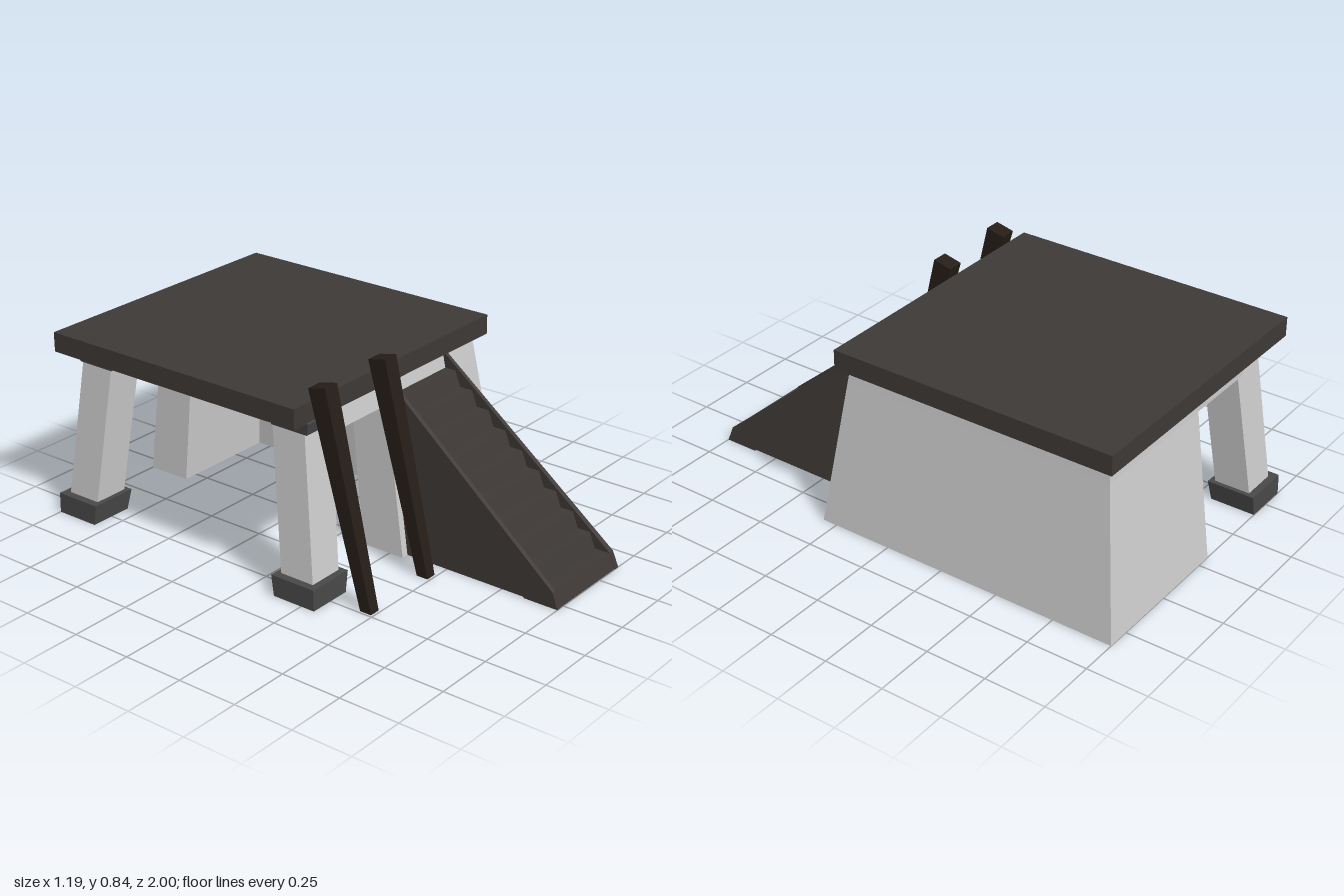
import * as THREE from 'three';

const mat = (color) => new THREE.MeshStandardMaterial({ color, flatShading: true, side: THREE.DoubleSide });

// Closed solid through horizontal sections: [{ y, pts: [[x, z], ...] }, ...] from bottom to top
function loft(sections) {
  const flat = (s) => s.pts.map(([x, z]) => new THREE.Vector2(x, -z));
  const rings = sections.map((s) => {
    const p = flat(s);
    if (THREE.ShapeUtils.isClockWise(p)) p.reverse();
    return p.map((v) => [v.x, s.y, -v.y]);
  });
  const pos = [];
  const tri = (a, b, c) => pos.push(...a, ...b, ...c);
  const n = rings[0].length;
  for (let k = 0; k + 1 < rings.length; k++) {
    for (let i = 0; i < n; i++) {
      const j = (i + 1) % n, lo = rings[k], hi = rings[k + 1];
      tri(lo[i], lo[j], hi[j]);
      tri(lo[i], hi[j], hi[i]);
    }
  }
  const bottom = rings[0], top = rings[rings.length - 1];
  const faces = (r) => THREE.ShapeUtils.triangulateShape(r.map((p) => new THREE.Vector2(p[0], -p[2])), []);
  faces(top).forEach(([a, b, c]) => tri(top[a], top[b], top[c]));
  faces(bottom).forEach(([a, b, c]) => tri(bottom[a], bottom[c], bottom[b]));
  const g = new THREE.BufferGeometry();
  g.setAttribute('position', new THREE.Float32BufferAttribute(pos, 3));
  g.computeVertexNormals();
  return g;
}

const rect = (x0, x1, z0, z1) => [[x0, z0], [x1, z0], [x1, z1], [x0, z1]];
const block = (y0, r0, y1, r1) => loft([{ y: y0, pts: rect(...r0) }, { y: y1, pts: rect(...r1) }]);

// Side profile of [z, y] points, swept across x between two limits that vary with height
function prism(profile, xLow, xHigh) {
  const shape = new THREE.Shape(profile.map(([z, y]) => new THREE.Vector2(-z, y)));
  const g = new THREE.ExtrudeGeometry(shape, { depth: 1, bevelEnabled: false });
  g.rotateY(Math.PI / 2);
  const p = g.attributes.position;
  for (let i = 0; i < p.count; i++) {
    const y = p.getY(i);
    p.setX(i, THREE.MathUtils.lerp(xLow(y), xHigh(y), p.getX(i)));
  }
  g.computeVertexNormals();
  return g;
}

export function createModel() {
  const model = new THREE.Group();
  model.name = 'raisedPlatform';
  const plaster = mat(0xcccccc), wood = mat(0x3e3936), stone = mat(0x484848), darkWood = mat(0x261d17);
  const add = (name, geometry, material) => {
    const m = new THREE.Mesh(geometry, material);
    m.name = name;
    model.add(m);
    return m;
  };

  // Roof deck
  add('deck', new THREE.BoxGeometry(1.19, 0.08, 1.2), wood).position.set(0, 0.738, -0.375);

  // C-shaped wall with battered sides: y, outer x, open end x, back z, front z, thickness
  const wallSections = [
    [0, 0.595, -0.063, -1, 0.313, 0.19],
    [0.61, 0.525, -0.056, -0.925, 0.225, 0.17],
    [0.7, 0.516, -0.056, -0.918, 0.21, 0.17],
  ].map(([y, x, e, b, f, t]) => ({
    y,
    pts: [[e, b], [x, b], [x, f], [e, f], [e, f - t], [x - t, f - t], [x - t, b + t], [e, b + t]],
  }));
  add('wall', loft(wallSections), plaster);

  // Lintels from the wall to the corner legs
  add('frontLintel', block(0.61, [-0.38, -0.05, 0.06, 0.222], 0.697, [-0.38, -0.03, 0.05, 0.208]), plaster);
  add('backLintel', block(0.61, [-0.38, -0.05, -0.922, -0.76], 0.697, [-0.38, -0.03, -0.922, -0.75]), plaster);

  // Leaning corner legs with stone feet and caps
  for (const front of [true, false]) {
    const zs = (outer, depth) => (front ? [outer - depth, outer] : [-0.69 - outer, -0.69 - outer + depth]);
    const label = front ? 'front' : 'back';
    add(label + 'Foot', block(0, [-0.597, -0.41, ...zs(0.31, 0.19)], 0.085, [-0.597, -0.395, ...zs(0.308, 0.2)]), stone);
    add(label + 'Leg', block(0.08, [-0.565, -0.415, ...zs(0.28, 0.15)], 0.7, [-0.516, -0.36, ...zs(0.205, 0.15)]), plaster);
    add(label + 'Cap', block(0.65, [-0.522, -0.36, ...zs(0.222, 0.165)], 0.7, [-0.53, -0.35, ...zs(0.235, 0.19)]), stone);
  }

  // Tapered poles leaning against the deck edge
  for (const x of [-0.467, -0.121]) {
    const pole = block(0, [x - 0.023, x + 0.023, 0.44, 0.49], 0.835, [x - 0.034, x + 0.034, 0.213, 0.29]);
    const p = pole.attributes.position;
    // square the ends to the lean
    for (let i = 0; i < p.count; i++) if (p.getY(i) > 0.8) p.setY(i, p.getZ(i) > 0.25 ? 0.843 : 0.825);
    pole.computeVertexNormals();
    add('pole', pole, darkWood);
  }

  // Staircase, narrowing towards the top
  const outerL = (y) => -0.04 + 0.006 * y;
  const innerL = (y) => -0.02 + 0.006 * y;
  const outerR = (y) => 0.385 - 0.07 * y;
  const innerR = (y) => 0.359 - 0.055 * y;
  const stringer = [[1, 0], [0.975, 0.065], [0.22, 0.7], [0.2, 0.7], [0.2, 0.555], [0.855, 0]];
  add('leftStringer', prism(stringer, innerR, outerR), wood);
  add('rightStringer', prism(stringer, outerL, innerL), wood);

  // Steps with sloping risers, solid underneath
  const steps = [[0.2, 0], [0.998, 0], [0.975, 0.063]];
  for (let k = 0; k < 9; k++) {
    const z = 0.91 - 0.0775 * k, y = 0.063 + 0.064 * k;
    steps.push([z, y], [z - 0.022, y + 0.064]);
  }
  steps.push([0.2, 0.063 + 0.064 * 9]);
  add('steps', prism(steps, innerL, innerR), wood);

  // Recessed panels closing the sides below the stringers
  const panel = [[0.2, 0], [0.86, 0], [0.2, 0.56]];
  add('leftSidePanel', prism(panel, innerR, (y) => outerR(y) - 0.008), wood);
  add('rightSidePanel', prism(panel, (y) => outerL(y) + 0.008, innerL), wood);

  return model;
}
